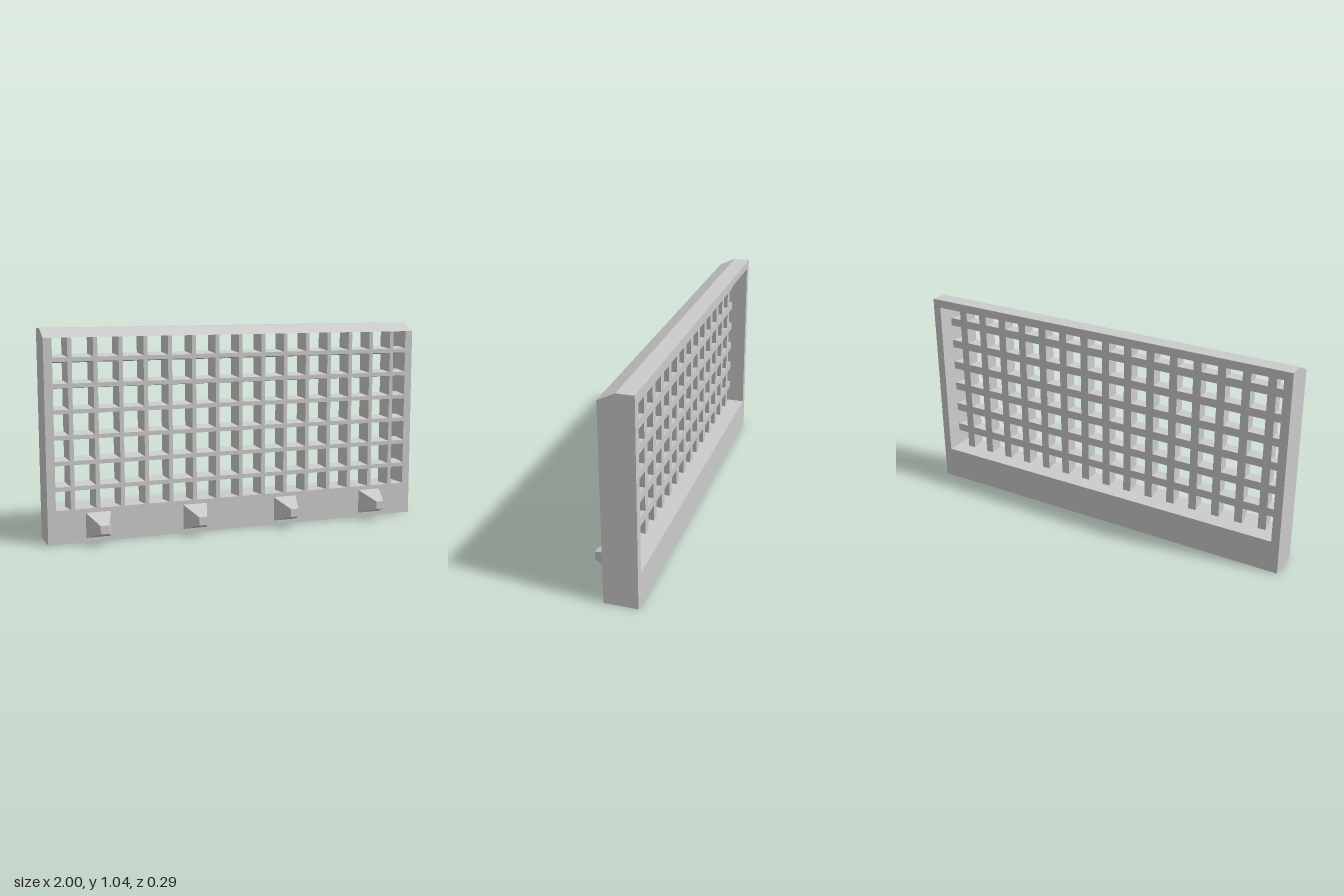
import * as THREE from 'three';

const U = 1 / 48; // modelling unit: every size is a whole number of these
const FRONT = U, BACK = -7 * U, MID = -3 * U;

const material = new THREE.MeshStandardMaterial({ color: 0xcccccc, flatShading: true });

function part(name, geometry, parent) {
  const mesh = new THREE.Mesh(geometry, material);
  mesh.name = name;
  parent.add(mesh);
  return mesh;
}

// Box whose front (+z) face is scaled by sx, sy
function taperedBox(w, h, d, sx, sy) {
  const geometry = new THREE.BoxGeometry(w, h, d);
  const p = geometry.attributes.position;
  for (let i = 0; i < p.count; i++) {
    if (p.getZ(i) > 0) p.setXY(i, p.getX(i) * sx, p.getY(i) * sy);
  }
  geometry.computeVertexNormals();
  return geometry;
}

function rectangle(target, x, y0, y1) {
  target.moveTo(-x, y0);
  target.lineTo(x, y0);
  target.lineTo(x, y1);
  target.lineTo(-x, y1);
  target.closePath();
  return target;
}

// Frame with a rectangular opening; its top front edge is bevelled
function frameGeometry() {
  const shape = rectangle(new THREE.Shape(), 1, 0, 50 * U);
  shape.holes.push(rectangle(new THREE.Path(), 46 * U, 8 * U, 48 * U));
  const geometry = new THREE.ExtrudeGeometry(shape, { depth: 8 * U, steps: 2, bevelEnabled: false });
  geometry.translate(0, 0, BACK);
  const p = geometry.attributes.position;
  for (let i = 0; i < p.count; i++) {
    if (p.getZ(i) > 0 && p.getY(i) > 48 * U) p.setY(i, 48 * U);
  }
  geometry.computeVertexNormals();
  return geometry;
}

export function createModel() {
  const model = new THREE.Group();
  model.name = 'latticePanel';
  part('frame', frameGeometry(), model);

  // Lattice: bars narrow at the front, wider at the recessed back
  const lattice = new THREE.Group();
  lattice.name = 'lattice';
  model.add(lattice);
  const depth = FRONT - MID, z = (FRONT + MID) / 2;
  const upright = taperedBox(2 * U, 40 * U, depth, 0.5, 1);
  for (let i = -7; i <= 7; i++) {
    part('verticalBar', upright, lattice).position.set(i * 6 * U, 28 * U, z);
  }
  const crossbar = taperedBox(92 * U, 2 * U, depth, 1, 0.5);
  for (let i = 0; i < 6; i++) {
    part('horizontalBar', crossbar, lattice).position.set(0, (13 + 6 * i) * U, z);
  }

  // Row of pyramid-shaped teeth along the lower rail
  const tooth = taperedBox(6 * U, 6 * U, 6 * U, 1 / 3, 1 / 3);
  for (const x of [-0.75, -0.25, 0.25, 0.75]) {
    part('tooth', tooth, model).position.set(x, 4 * U, FRONT + 3 * U);
  }
  return model;
}
